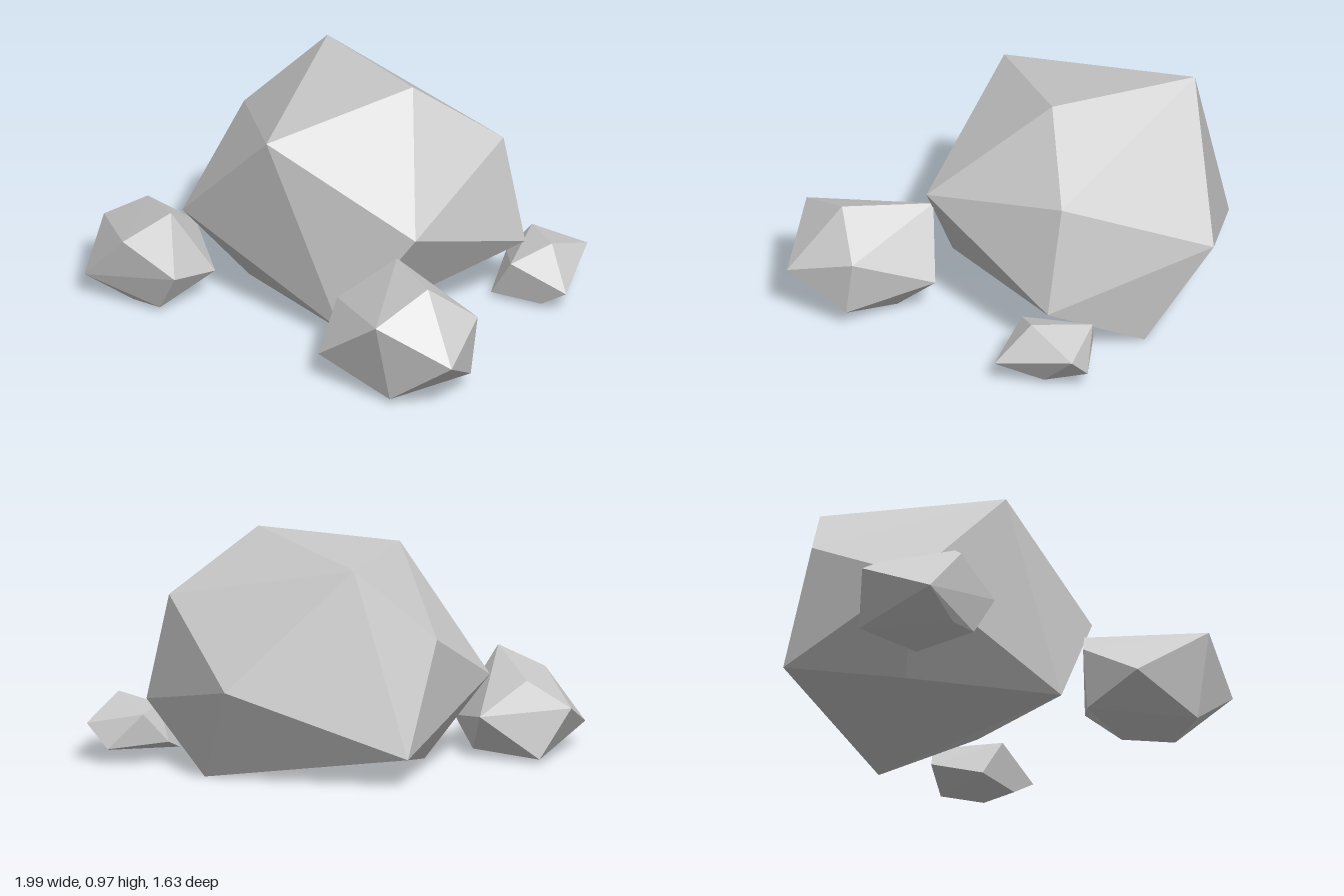
import * as THREE from 'three';
import { ConvexGeometry } from 'three/addons/geometries/ConvexGeometry.js';

// Each rock is a faceted hull around a handful of corner points.
const rocks = {
  mainBoulder: [
    [0.08, 0.97, -0.2], [-0.58, 0.915, -0.33], [-0.16, 0.83, 0.41], // crown
    [0.29, 0.7, -0.52], [-0.81, 0.61, -0.07], [0.47, 0.52, 0.15], // shoulders
    [-0.29, 0.43, -0.81], [0.39, 0.24, -0.55], [-0.65, 0.34, 0.43], [-0.82, 0.13, -0.26], // waist
    [0.19, 0.06, 0.32], [-0.51, 0, 0.18], [-0.04, 0, -0.66], [0.05, 0, -0.03], // base
  ],
  leftRock: [
    [0.76, 0.48, 0.35], [0.4, 0.43, 0.19], [0.73, 0.38, 0.62], [0.86, 0.32, 0.16],
    [0.25, 0.26, 0.39], [0.99, 0.22, 0.43], [0.52, 0.165, 0.03], [0.37, 0.12, 0.61],
    [0.86, 0.07, 0.2], [0.73, 0.02, 0.54], [0.3, 0.02, 0.35], [0.6, 0.02, 0.18],
  ],
  frontRock: [
    [-0.55, 0.42, 0.59], [-0.84, 0.34, 0.45], [-0.65, 0.31, 0.77], [-1, 0.23, 0.55],
    [-0.42, 0.19, 0.69], [-0.74, 0.2, 0.27], [-0.45, 0.13, 0.43], [-0.84, 0.1, 0.81],
    [-0.93, 0.02, 0.43], [-0.65, 0.02, 0.71], [-0.52, 0.02, 0.68], [-0.6, 0.02, 0.38],
  ],
  backRock: [
    [0.51, 0.26, -0.59], [0.27, 0.22, -0.7], [0.43, 0.19, -0.43], [0.48, 0.17, -0.82],
    [0.66, 0.1, -0.53], [0.2, 0.1, -0.62], [0.38, 0.07, -0.8],
    [0.5, 0.02, -0.66], [0.32, 0.02, -0.42], [0.54, 0.02, -0.5],
  ],
};

export function createModel() {
  const group = new THREE.Group();
  group.name = 'rockCluster';
  const stone = new THREE.MeshStandardMaterial({ color: 0xcccccc, flatShading: true });
  for (const [name, corners] of Object.entries(rocks)) {
    const points = corners.map((c) => new THREE.Vector3(...c));
    const rock = new THREE.Mesh(new ConvexGeometry(points), stone);
    rock.name = name;
    group.add(rock);
  }
  return group;
}
